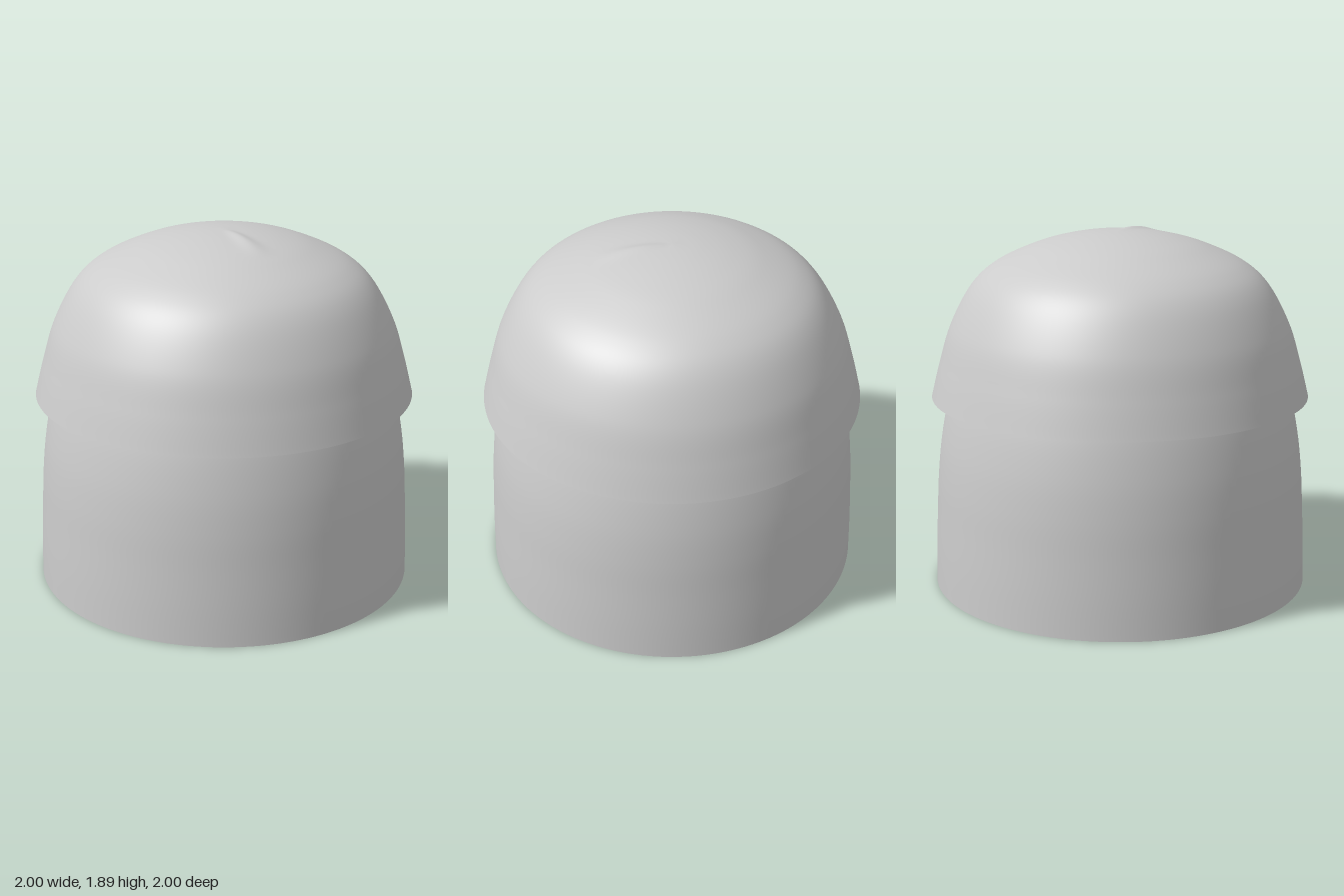
import * as THREE from 'three';
import { mergeVertices } from 'three/addons/utils/BufferGeometryUtils.js';

const material = new THREE.MeshStandardMaterial({ color: 0xcccccc, side: THREE.DoubleSide });

// Smooth shell of revolution through [radius, height] points, listed bottom to top
function shell(name, points, deform) {
  const curve = new THREE.SplineCurve(points.map(([r, y]) => new THREE.Vector2(r, y)));
  const profile = curve.getSpacedPoints(72);
  profile.forEach(p => { p.x = Math.max(p.x, 0); });
  let geometry = new THREE.LatheGeometry(profile, 128);
  if (deform) deform(geometry.attributes.position);
  // Weld the seam and the pole so the normals stay smooth all round
  geometry.deleteAttribute('uv');
  geometry.deleteAttribute('normal');
  geometry = mergeVertices(geometry, 1e-5);
  geometry.computeVertexNormals();
  const mesh = new THREE.Mesh(geometry, material);
  mesh.name = name;
  return mesh;
}

// Small ridge running outwards from just beside the crown
function raiseRidge(position) {
  const direction = 0.6;
  for (let i = 0; i < position.count; i++) {
    const x = position.getX(i), z = position.getZ(i);
    const along = x * Math.cos(direction) + z * Math.sin(direction);
    const across = z * Math.cos(direction) - x * Math.sin(direction);
    if (along < 0.02 || along > 0.4) continue;
    const rise = Math.sin(Math.PI * (along - 0.02) / 0.38);
    const width = 0.02 + 0.1 * along;
    position.setY(i, position.getY(i) + 0.012 * rise * Math.exp(-((across / width) ** 2)));
  }
}

export function createModel() {
  const group = new THREE.Group();
  group.name = 'domedCap';

  // Open-bottomed body, closing as a dome beneath the cap
  group.add(shell('lowerBody', [
    [1, 0], [0.995, 0.2], [0.986, 0.4], [0.975, 0.6], [0.953, 0.8], [0.91, 1.02],
    [0.85, 1.2], [0.74, 1.4], [0.57, 1.57], [0.32, 1.69], [0.15, 1.725], [0, 1.735],
  ]));

  // Overhanging cap with a flared rim
  group.add(shell('upperCap', [
    [1, 1.02], [0.955, 1.2], [0.893, 1.4], [0.785, 1.6], [0.66, 1.715],
    [0.47, 1.805], [0.31, 1.853], [0.15, 1.88], [0, 1.89],
  ], raiseRidge));

  return group;
}
